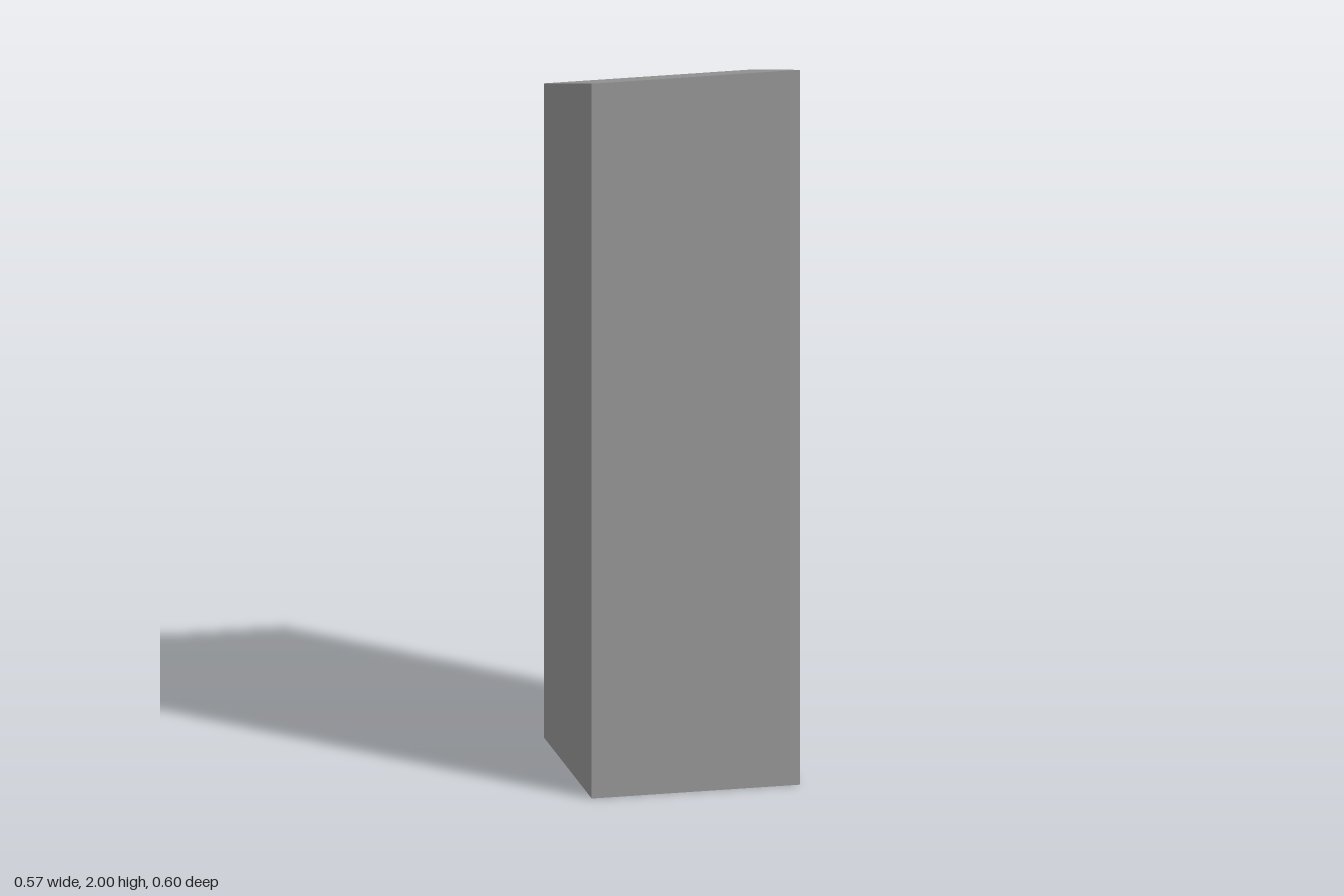
import * as THREE from 'three';

const BACK = -0.277;

const mat = (name, color) => {
  const m = new THREE.MeshStandardMaterial({ color, flatShading: true });
  m.name = name;
  return m;
};

// Flat outline extruded so that it stands out from the back face
function onBack(name, shape, material, depth, gap = 0) {
  const geo = new THREE.ExtrudeGeometry(shape, { depth, bevelEnabled: false, curveSegments: 8 });
  const mesh = new THREE.Mesh(geo, material);
  mesh.name = name;
  mesh.position.z = BACK - gap - depth;
  return mesh;
}

// Strip with rounded ends
function capsule(x0, y0, x1, y1, r) {
  const a = Math.atan2(y1 - y0, x1 - x0);
  const s = new THREE.Shape();
  s.absarc(x1, y1, r, a - Math.PI / 2, a + Math.PI / 2, false);
  s.absarc(x0, y0, r, a + Math.PI / 2, a + Math.PI * 1.5, false);
  s.closePath();
  return s;
}

// Piece of a ring between two angles in degrees
function ringPiece(x, y, inner, outer, from, to) {
  const a = THREE.MathUtils.degToRad(from), b = THREE.MathUtils.degToRad(to);
  const s = new THREE.Shape();
  s.absarc(x, y, outer, a, b, false);
  s.absarc(x, y, inner, b, a, true);
  s.closePath();
  return s;
}

export function createModel() {
  const grey = mat('grey metal', 0x999999);
  const red = mat('dark red', 0x880a0a);
  const tan = mat('tan label', 0xcfb47c);
  const group = new THREE.Group();
  group.name = 'locker';

  // Cabinet: a tall box whose roof slopes down to the back
  const box = new THREE.BoxGeometry(0.572, 2, 0.574).translate(0, 1, 0.01);
  const p = box.attributes.position;
  for (let i = 0; i < p.count; i++) {
    if (p.getY(i) > 1 && p.getZ(i) < 0) p.setY(i, 1.83);
  }
  box.computeVertexNormals();
  const cabinet = new THREE.Mesh(box, grey);
  cabinet.name = 'cabinet';
  group.add(cabinet);

  // Painted label near the top of the back face
  group.add(onBack('label', capsule(-0.162, 1.76, 0.09, 1.76, 0.037), tan, 0.002));

  // Eight-sided lock
  const lock = new THREE.Mesh(new THREE.CylinderGeometry(0.083, 0.083, 0.022, 8), grey);
  lock.name = 'lock';
  lock.rotation.x = Math.PI / 2;
  lock.position.set(-0.167, 0.918, BACK - 0.011);
  group.add(lock);

  // Shackle: red sides with a bare metal crown
  const pieces = [
    ['shackleLeft', -20, 72, red],
    ['shackleCrown', 72, 127, grey],
    ['shackleRight', 127, 200, red],
  ];
  for (const [name, from, to, material] of pieces) {
    group.add(onBack(name, ringPiece(-0.17, 0.985, 0.028, 0.05, from, to), material, 0.016, 0.002));
  }

  // Red tail hanging below the lock
  group.add(onBack('tail', capsule(-0.192, 0.775, -0.188, 0.88, 0.023), red, 0.002));

  return group;
}
